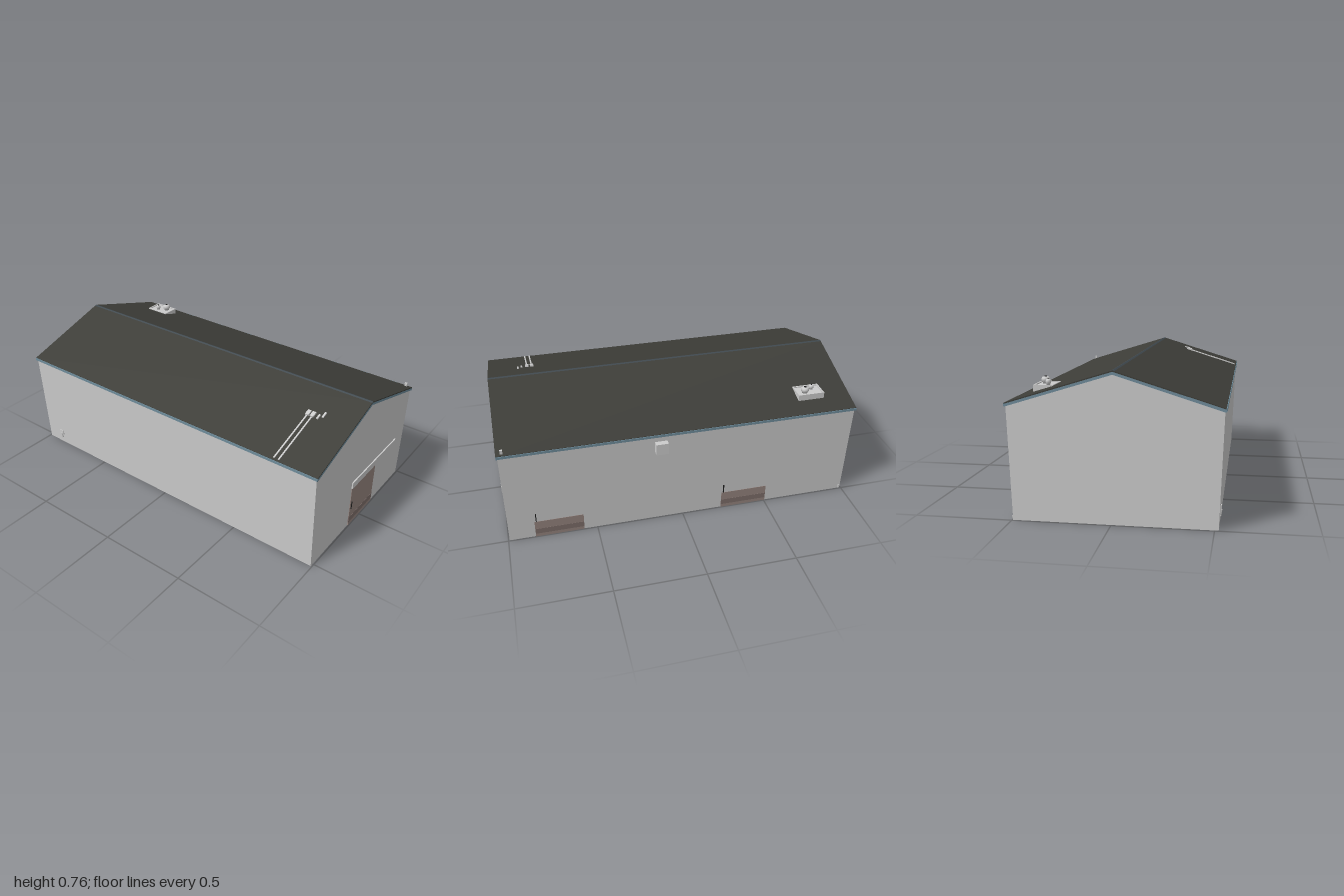
import * as THREE from 'three';

const C = -0.0125;          // x of the ridge line
const BASE = 0.507, EAVE = 0.527, ROOF = 0.532;
const EAVE_Y = 0.58, APEX = 0.755, SLOPE = 0.31;

const mat = (color) => new THREE.MeshStandardMaterial({ color, flatShading: false });
const grey = mat(0xcccccc), roofMat = mat(0x3d3d38), blue = mat(0x6f8c9b), ridgeMat = mat(0x3f484e);
const ceilingMat = mat(0x46555e), brown = mat(0x978680), brownDark = mat(0x80706c), black = mat(0x1c1c1c);

export function createModel() {
  const model = new THREE.Group();

  const add = (name, geo, material, x = 0, y = 0, z = 0) => {
    const mesh = new THREE.Mesh(geo, material);
    mesh.name = name;
    mesh.position.set(x, y, z);
    model.add(mesh);
    return mesh;
  };
  // Box given by its limits on each axis
  const box = (name, material, x0, x1, y0, y1, z0, z1) =>
    add(name, new THREE.BoxGeometry(x1 - x0, y1 - y0, z1 - z0), material,
      (x0 + x1) / 2, (y0 + y1) / 2, (z0 + z1) / 2);
  // Cross-section in x and y, swept from z0 to z1
  const sweep = (name, material, points, z0, z1) => {
    const shape = new THREE.Shape(points.map(([x, y]) => new THREE.Vector2(x, y)));
    const geo = new THREE.ExtrudeGeometry(shape, { depth: z1 - z0, bevelEnabled: false });
    return add(name, geo, material, C, 0, z0);
  };
  const roofY = (x) => APEX - SLOPE * Math.abs(x - C);
  const wallX = (y) => BASE + (EAVE - BASE) * y / EAVE_Y;   // half width at a height

  // Gable walls, leaning out towards the eaves
  const gable = [[-BASE, 0], [BASE, 0], [EAVE, EAVE_Y], [0, APEX - 0.012], [-EAVE, EAVE_Y]];
  sweep('frontWall', grey, gable, 0.988, 0.993);
  sweep('backWall', grey, gable, -0.993, -0.988);

  // Chevron band following the roof pitch, between two drops below its top
  const chevron = (a, b) => {
    const e = APEX - SLOPE * ROOF;
    return [[0, APEX - a], [-ROOF, e - a], [-ROOF, e - b], [0, APEX - b], [ROOF, e - b], [ROOF, e - a]];
  };
  sweep('roof', roofMat, chevron(0, 0.006), -1, 1);
  sweep('ceiling', ceilingMat, chevron(0.0062, 0.01), -0.988, 0.988);
  for (const z of [-1, 0.992]) sweep('vergeTrim', blue, chevron(0.005, 0.02), z, z + 0.008);
  sweep('ridgeCap', ridgeMat, [[-0.012, APEX - 0.004], [0.012, APEX - 0.004], [0, APEX + 0.001]], -1, 1);

  for (const s of [-1, 1]) {
    // Side walls and eaves trim
    sweep('sideWall', grey, [[s * BASE, 0], [s * EAVE, EAVE_Y], [s * (EAVE - 0.005), EAVE_Y], [s * (BASE - 0.005), 0]],
      -0.993, 0.993);
    const x = C + s * ROOF;
    box('eavesTrim', blue, x - 0.004, x + 0.004, 0.574, 0.588, -1, 1);
  }

  // Sliding front door with kick strips, handle and overhead rail
  box('frontDoor', brown, -0.125, 0.15, 0.055, 0.27, 0.983, 0.996);
  box('frontDoorKickPanel', brownDark, -0.125, 0.15, 0.02, 0.055, 0.983, 0.997);
  box('frontDoorSill', brown, -0.125, 0.15, 0, 0.02, 0.983, 0.997);
  box('frontDoorHandle', black, -0.113, -0.109, 0.11, 0.16, 0.995, 1);
  box('doorRail', grey, -0.128, 0.395, 0.26, 0.3, 0.99, 1);

  // Inner door face and the cabinet standing beside it
  box('innerDoor', brown, -0.125, 0.15, 0, 0.3, 0.978, 0.984);
  box('cabinet', grey, -0.07, -0.01, 0.01, 0.3, 0.84, 0.98);
  box('cabinetBack', black, -0.075, -0.01, 0.03, 0.3, 0.82, 0.84);

  // Low side doors, leaning with the wall
  const leaning = (name, material, y0, y1, z0, z1, out) =>
    sweep(name, material, [[wallX(y0) - 0.008, y0], [wallX(y0) + out, y0], [wallX(y1) + out, y1], [wallX(y1) - 0.008, y1]], z0, z1);
  for (const z of [0.575, -0.505]) {
    leaning('sideDoor', brown, 0.055, 0.107, z, z + 0.273, 0.002);
    leaning('sideDoorKickPanel', brownDark, 0.02, 0.055, z, z + 0.273, 0.003);
    leaning('sideDoorSill', brown, 0, 0.02, z, z + 0.273, 0.003);
    leaning('sideDoorHandle', black, 0.11, 0.163, z + 0.26, z + 0.265, 0.006);
  }

  // Three framed windows on the inside of the left-hand wall as seen from the front
  for (const zc of [0.835, 0.5, 0.168]) {
    const win = new THREE.Group();
    win.name = 'window';
    const part = (name, material, h, w, y, z, d) => {
      const m = new THREE.Mesh(new THREE.BoxGeometry(d, h, w), material);
      m.name = name;
      m.position.set(0, y, z);
      win.add(m);
    };
    part('pane', grey, 0.075, 0.25, 0, 0, 0.004);
    for (const s of [-1, 1]) {
      part('frameRail', ceilingMat, 0.009, 0.255, s * 0.036, 0, 0.009);
      part('frameStile', ceilingMat, 0.075, 0.009, 0, s * 0.123, 0.009);
      part('mullion', ceilingMat, 0.075, 0.007, 0, s * 0.075, 0.008);
    }
    win.position.set(C - wallX(0.5) + 0.008, 0.5, zc);
    win.rotation.z = Math.atan((EAVE - BASE) / EAVE_Y);
    model.add(win);
  }
  for (const z of [0.984]) box('innerCornerTrim', blue, C - BASE + 0.004, C - BASE + 0.01, 0, 0.57, z - 0.003, z + 0.003);

  // Wall fittings
  box('wallVent', grey, 0.5, 0.545, 0.475, 0.541, 0.097, 0.165);
  box('socketBox', grey, -0.516, -0.505, 0.05, 0.09, 0.11, 0.19);
  box('drainOutlet', grey, 0.485, 0.5, 0.005, 0.022, -0.99, -0.978);
  box('tapPlate', grey, -0.527, -0.508, 0.06, 0.09, -0.895, -0.86);
  const spout = add('tapSpout', new THREE.CylinderGeometry(0.006, 0.006, 0.035, 10), grey, -0.523, 0.052, -0.877);
  spout.rotation.z = 0.1;
  box('eavesLamp', grey, 0.497, 0.508, 0.59, 0.616, 0.962, 0.976);

  // Roof ventilator: upstand with rim and two hoods
  box('ventilatorBase', grey, 0.325, 0.418, 0.615, 0.65, -0.835, -0.695);
  for (const s of [-1, 1]) {
    box('ventilatorRim', grey, 0.371 + s * 0.047 - 0.004, 0.371 + s * 0.047 + 0.004, 0.62, 0.656, -0.84, -0.69);
    box('ventilatorRim', grey, 0.32, 0.422, 0.62, 0.656, -0.765 + s * 0.072 - 0.004, -0.765 + s * 0.072 + 0.004);
  }
  for (const [x, z, r, top] of [[0.386, -0.737, 0.022, 0.687], [0.358, -0.787, 0.014, 0.68]]) {
    const y = top - 0.65;
    const profile = [[0, 0], [r * 0.7, 0], [r * 0.7, y * 0.3], [r, y * 0.35], [r, y * 0.7], [r * 0.7, y * 0.92], [0, y]]
      .map(([px, py]) => new THREE.Vector2(px, py));
    add('ventilatorHood', new THREE.LatheGeometry(profile, 20), grey, x, 0.65, z);
    add('hoodCap', new THREE.CylinderGeometry(r * 0.3, r * 0.3, 0.003, 12), black, x, top, z);
  }

  // Conduits running down the roof, with junction boxes and clips
  const onRoof = (name, x0, x1, z, h, w) => {
    const xc = (x0 + x1) / 2;
    const m = add(name, new THREE.BoxGeometry((x1 - x0) * Math.hypot(1, SLOPE), h, w), grey, xc, roofY(xc) + h / 2, z);
    m.rotation.z = Math.atan(SLOPE);
  };
  for (const z of [0.745, 0.773]) {
    onRoof('conduit', -0.535, -0.225, z, 0.004, 0.008);
    onRoof('junctionBox', -0.235, -0.203, z, 0.01, 0.02);
  }
  onRoof('roofClip', -0.235, -0.205, 0.805, 0.007, 0.01);
  onRoof('roofClip', -0.215, -0.18, 0.826, 0.007, 0.01);

  return model;
}
